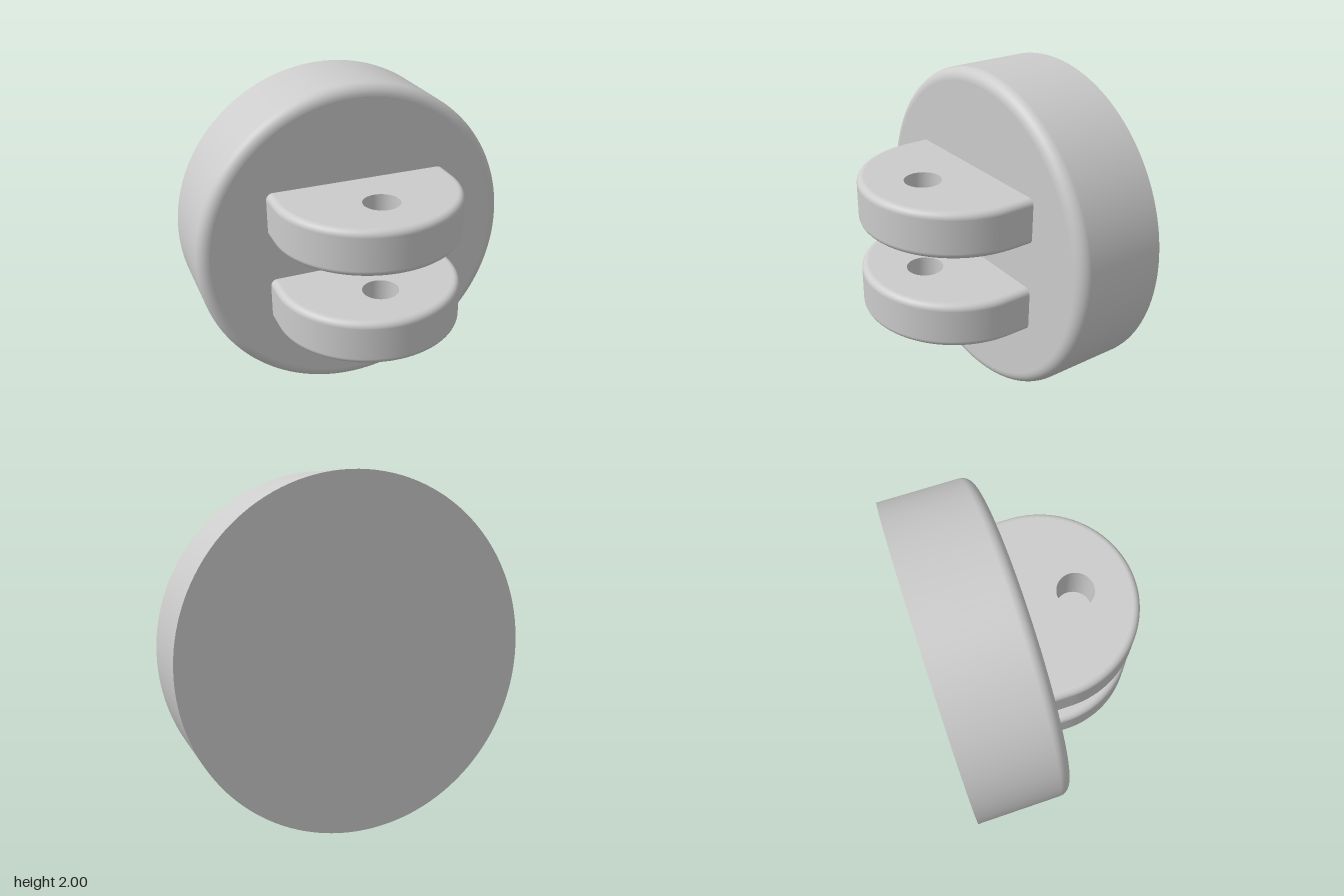
import * as THREE from 'three';

const material = new THREE.MeshStandardMaterial({ color: 0xcccccc });
const boreMaterial = new THREE.MeshStandardMaterial({ color: 0xcccccc, side: THREE.BackSide });

// Base disc: axis along z
const BASE = { radius: 1, back: -0.64, front: -0.07, fillet: 0.07 };
// Lug: D-shaped plate, round end centred at z = centre
const LUG = { radius: 0.57, centre: 0.07, half: 0.14, fillet: 0.04, hole: 0.11, holeZ: 0.285 };

function addMesh(parent, name, geometry, mat = material) {
  const mesh = new THREE.Mesh(geometry, mat);
  mesh.name = name;
  parent.add(mesh);
  return mesh;
}

// Quarter-round profile points from angle a0 to a1 around (cx, cy)
function fillet(cx, cy, r, a0, a1, steps = 10) {
  return Array.from({ length: steps + 1 }, (_, i) => {
    const a = a0 + ((a1 - a0) * i) / steps;
    return new THREE.Vector2(cx + r * Math.cos(a), cy + r * Math.sin(a));
  });
}

function createBase() {
  const { radius, back, front, fillet: f } = BASE;
  const group = new THREE.Group();
  group.name = 'baseDisc';
  const rim = [
    new THREE.Vector2(radius, back),
    ...fillet(radius - f, front - f, f, 0, Math.PI / 2),
  ];
  addMesh(group, 'baseRim', new THREE.LatheGeometry(rim, 128).rotateX(Math.PI / 2));
  addMesh(group, 'baseFront', new THREE.CircleGeometry(radius - f, 128).translate(0, 0, front));
  addMesh(group, 'baseBack', new THREE.CircleGeometry(radius, 128).rotateY(Math.PI).translate(0, 0, back));
  return group;
}

// Half-round edge whose first and last columns are pulled straight back to the disc
function lugEdge(tail) {
  const { radius, half, fillet: f } = LUG;
  const profile = [
    ...fillet(radius - f, -half + f, f, -Math.PI / 2, 0),
    ...fillet(radius - f, half - f, f, 0, Math.PI / 2),
  ];
  const n = 64;
  const step = Math.PI / n;
  const geometry = new THREE.LatheGeometry(profile, n + 2, -Math.PI / 2 - step, Math.PI + 2 * step);
  const pos = geometry.attributes.position;
  const nor = geometry.attributes.normal;
  for (let i = 0; i < pos.count; i++) {
    if (pos.getZ(i) > -1e-6) continue;
    const side = Math.sign(pos.getX(i));
    pos.setX(i, side * Math.hypot(pos.getX(i), pos.getZ(i)));
    pos.setZ(i, -tail);
    nor.setXYZ(i, side * Math.hypot(nor.getX(i), nor.getZ(i)), nor.getY(i), 0);
  }
  return geometry;
}

// Flat face of the lug with the pin hole, facing up
function lugFace(tail) {
  const { radius, centre, half, fillet: f, hole, holeZ } = LUG;
  const r = radius - f;
  const shape = new THREE.Shape();
  shape.moveTo(r, tail);
  shape.lineTo(-r, tail);
  shape.lineTo(-r, 0);
  shape.absarc(0, 0, r, Math.PI, Math.PI * 2, false);
  shape.closePath();
  const cut = new THREE.Path();
  cut.absarc(0, -(holeZ - centre), hole, 0, Math.PI * 2, true);
  shape.holes.push(cut);
  return new THREE.ShapeGeometry(shape, 64).rotateX(-Math.PI / 2).translate(0, half, 0);
}

function createLug(name, y) {
  const { centre, half, hole, holeZ } = LUG;
  const tail = centre - BASE.front;
  const group = new THREE.Group();
  group.name = name;
  addMesh(group, 'lugEdge', lugEdge(tail));
  const top = lugFace(tail);
  addMesh(group, 'lugTop', top);
  addMesh(group, 'lugBottom', top.clone().rotateZ(Math.PI));
  const bore = new THREE.CylinderGeometry(hole, hole, half * 2, 64, 1, true);
  addMesh(group, 'pinHole', bore.translate(0, 0, holeZ - centre), boreMaterial);
  group.position.set(0, y, centre);
  return group;
}

export function createModel() {
  const model = new THREE.Group();
  model.name = 'clevisMount';
  const base = createBase();
  base.position.y = BASE.radius;
  model.add(base, createLug('upperLug', 1.287), createLug('lowerLug', 0.717));
  return model;
}
